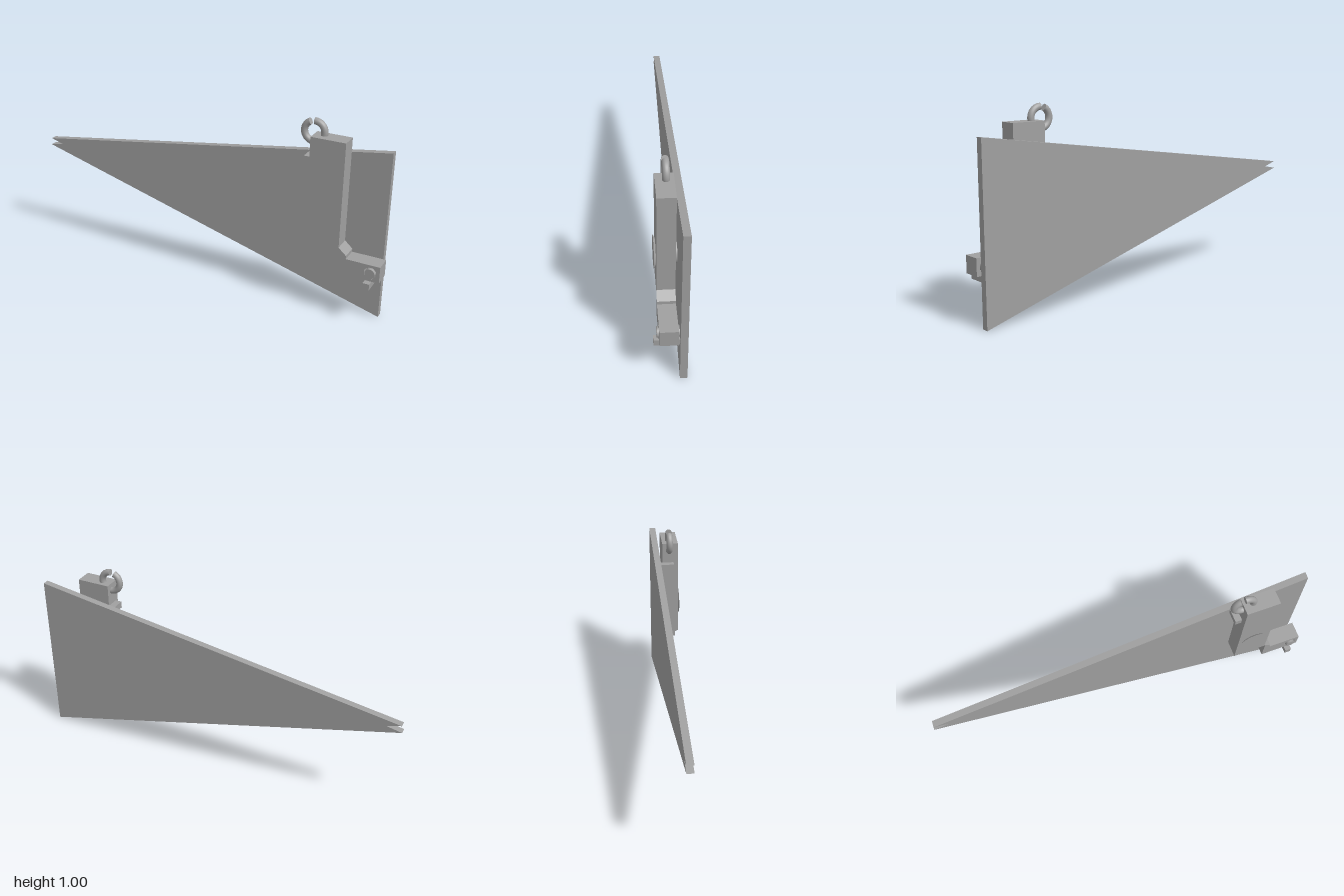
import * as THREE from 'three';

const metal = new THREE.MeshStandardMaterial({ color: 0xa0a0a0 });
metal.name = 'grey metal';

export function createModel() {
  const root = new THREE.Group();
  root.name = 'wedgePlateLatch';

  const add = (name, geometry, x = 0, y = 0, z = 0) => {
    const mesh = new THREE.Mesh(geometry, metal);
    mesh.name = name;
    mesh.position.set(x, y, z);
    root.add(mesh);
    return mesh;
  };
  const outline = (pts) => new THREE.Shape(pts.map(([x, y]) => new THREE.Vector2(x, y)));
  // Flat shape extruded between two depths
  const slab = (name, shape, z0, z1) =>
    add(name, new THREE.ExtrudeGeometry(shape, { depth: z1 - z0, bevelEnabled: false }), 0, 0, z0);
  // Box given by its extents
  const block = (name, x0, x1, y0, y1, z0, z1) =>
    add(name, new THREE.BoxGeometry(x1 - x0, y1 - y0, z1 - z0), (x0 + x1) / 2, (y0 + y1) / 2, (z0 + z1) / 2);
  // Round pin along z, with front and back radii
  const pin = (name, x, y, z0, z1, rFront, rBack = rFront) => {
    const g = new THREE.CylinderGeometry(rFront, rBack, z1 - z0, 32).rotateX(Math.PI / 2);
    return add(name, g, x, y, (z0 + z1) / 2);
  };

  // Long tapering plate with a notched tip
  slab('wedgePlate', outline([
    [-0.995, 0.54], [0.98, 0.002], [0.98, 0.875], [-0.995, 0.578], [-0.92, 0.556], [-1, 0.54],
  ].slice(1)), -0.077, -0.042);

  // Upright body
  block('body', 0.61, 0.785, 0.378, 0.92, -0.032, 0.055);

  // Stepped arm with an eight-sided bolt hole
  const arm = outline([
    [0.79, 0.247], [0.997, 0.247], [0.997, 0.333], [0.825, 0.333], [0.825, 0.35], [0.785, 0.385], [0.785, 0.378], [0.79, 0.378],
  ]);
  const hole = [];
  for (let i = 0; i < 8; i++) {
    const a = -(i + 0.5) * Math.PI / 4;
    hole.push(new THREE.Vector2(0.95 + 0.032 * Math.cos(a), 0.29 + 0.032 * Math.sin(a)));
  }
  arm.holes.push(new THREE.Path(hole));
  slab('arm', arm, -0.032, 0.055);

  // Pivot, its flared front cap and the arm bolt
  pin('pivot', 0.695, 0.542, -0.042, 0.05, 0.058);
  pin('pivotCap', 0.695, 0.54, 0.053, 0.064, 0.077, 0.06);
  pin('bolt', 0.95, 0.29, -0.038, 0.065, 0.025);

  // Square stops standing on the plate
  block('upperStop', 0.572, 0.606, 0.776, 0.81, -0.042, 0.03);
  block('lowerStop', 0.925, 0.958, 0.209, 0.242, -0.042, 0.079);

  // Open ring with closed ends
  const R = 0.051, r = 0.017, start = 115, arc = 335;
  const ring = new THREE.Group();
  ring.name = 'openRing';
  ring.position.set(0.61, 0.932, 0.005);
  root.add(ring);
  const rad = THREE.MathUtils.degToRad;
  const tube = new THREE.Mesh(new THREE.TorusGeometry(R, r, 16, 48, rad(arc)).rotateZ(rad(start)), metal);
  tube.name = 'ringTube';
  ring.add(tube);
  for (const [angle, turn] of [[start, 90], [start + arc, -90]]) {
    const g = new THREE.CircleGeometry(r, 16).rotateX(rad(turn)).translate(R, 0, 0).rotateZ(rad(angle));
    const end = new THREE.Mesh(g, metal);
    end.name = 'ringEnd';
    ring.add(end);
  }

  return root;
}
